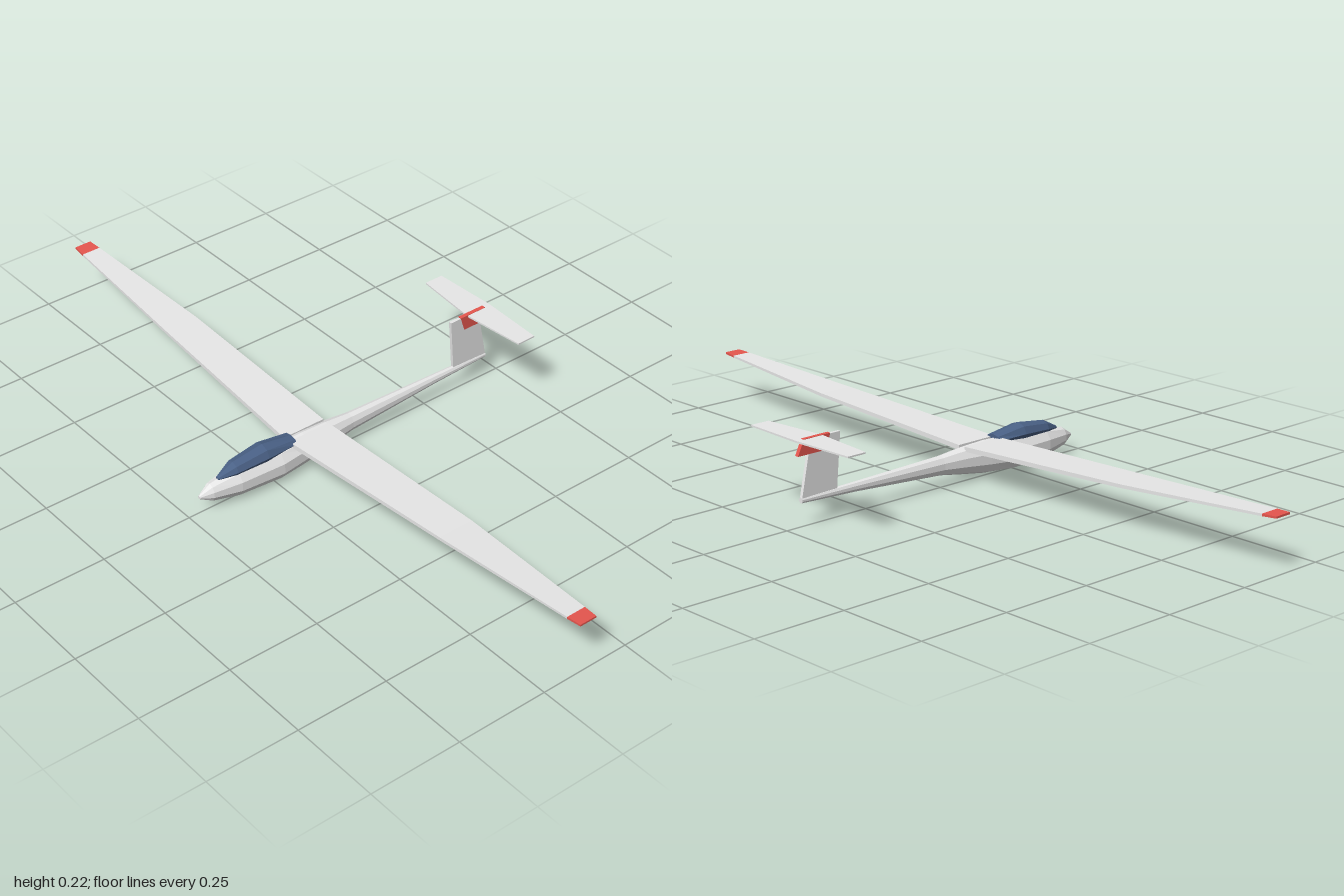
import * as THREE from 'three';

// Skin closed cross-sections; each ring runs counter-clockwise seen from the first ring's end
function loft(rings) {
  const n = rings[0].length, index = [];
  for (let i = 0; i < rings.length - 1; i++) {
    for (let j = 0; j < n; j++) {
      const a = i * n + j, b = i * n + (j + 1) % n;
      index.push(a, a + n, b, b, a + n, b + n);
    }
  }
  const last = (rings.length - 1) * n;
  for (let j = 1; j < n - 1; j++) {
    index.push(0, j, j + 1, last, last + j + 1, last + j);
  }
  const geo = new THREE.BufferGeometry();
  geo.setAttribute('position', new THREE.Float32BufferAttribute(rings.flat(2), 3));
  geo.setIndex(index);
  const flat = geo.toNonIndexed();
  flat.computeVertexNormals();
  return flat;
}

// Oval ring across the fuselage
function oval(z, bottom, top, halfWidth, sides) {
  return Array.from({ length: sides }, (_, j) => {
    const a = Math.PI / 2 + (j / sides) * Math.PI * 2;
    return [halfWidth * Math.cos(a), (top + bottom) / 2 + (top - bottom) / 2 * Math.sin(a), z];
  });
}

// Slab section of a wing: position, leading and trailing z, height, thickness
const slab = ([x, lead, trail, y, t]) => [
  [x, y - t / 2, trail], [x, y + t / 2, trail], [x, y + t / 2, lead], [x, y - t / 2, lead],
];

// Upright plate drawn in (z, y)
function plate(points, thickness) {
  const shape = new THREE.Shape(points.map(([z, y]) => new THREE.Vector2(z, y)));
  const geo = new THREE.ExtrudeGeometry(shape, { depth: thickness, bevelEnabled: false });
  return geo.translate(0, 0, -thickness / 2).rotateY(-Math.PI / 2);
}

export function createModel() {
  const group = new THREE.Group();
  const material = (name, color) => {
    const m = new THREE.MeshStandardMaterial({ color, flatShading: true });
    m.name = name;
    return m;
  };
  const white = material('white', 0xebebeb);
  const red = material('red', 0xe6564e);
  const glass = material('canopyBlue', 0x4a6186);
  const add = (name, geo, mat) => {
    const mesh = new THREE.Mesh(geo, mat);
    mesh.name = name;
    group.add(mesh);
  };

  // Fuselage: z, bottom, top, half width
  add('fuselage', loft([
    [0.468, 0.043, 0.052, 0.004],
    [0.435, 0.024, 0.074, 0.02],
    [0.36, 0.008, 0.088, 0.036],
    [0.235, 0.001, 0.093, 0.043],
    [0.15, 0.008, 0.096, 0.036],
    [0.075, 0.02, 0.093, 0.028],
    [0, 0.033, 0.086, 0.02],
    [-0.28, 0.052, 0.079, 0.011],
    [-0.455, 0.06, 0.075, 0.007],
  ].map((s) => oval(...s, 10))), white);

  // Canopy, its lower half sunk into the fuselage
  add('canopy', loft([
    [0.412, 0.074, 0.083, 0.006],
    [0.365, 0.066, 0.107, 0.024],
    [0.275, 0.066, 0.119, 0.031],
    [0.185, 0.078, 0.104, 0.026],
  ].map((s) => oval(...s, 8))), glass);

  // Wings with dihedral and red tips
  const inner = [
    [0.96, 0.153, 0.099, 0.140, 0.006],
    [0.55, 0.174, 0.074, 0.117, 0.009],
    [0.01, 0.198, 0.074, 0.089, 0.013],
  ];
  const tip = [[1, 0.15, 0.102, 0.1425, 0.005], inner[0]];
  const mirrored = (s) => s.map(([x, ...rest]) => [-x, ...rest]).reverse();
  for (const [side, order] of [['left', (s) => s], ['right', mirrored]]) {
    add(side + 'Wing', loft(order(inner).map(slab)), white);
    add(side + 'WingTip', loft(order(tip).map(slab)), red);
  }

  // T-tail
  add('fin', plate([[-0.345, 0.07], [-0.455, 0.07], [-0.425, 0.218], [-0.333, 0.218]], 0.009), white);
  add('rudderPanel', plate([[-0.378, 0.18], [-0.466, 0.18], [-0.447, 0.22], [-0.365, 0.22]], 0.011), red);
  add('tailplane', loft([
    [0.18, -0.405, -0.459, 0.2165, 0.004],
    [0, -0.388, -0.467, 0.2165, 0.005],
    [-0.18, -0.405, -0.459, 0.2165, 0.004],
  ].map(slab)), white);

  return group;
}
